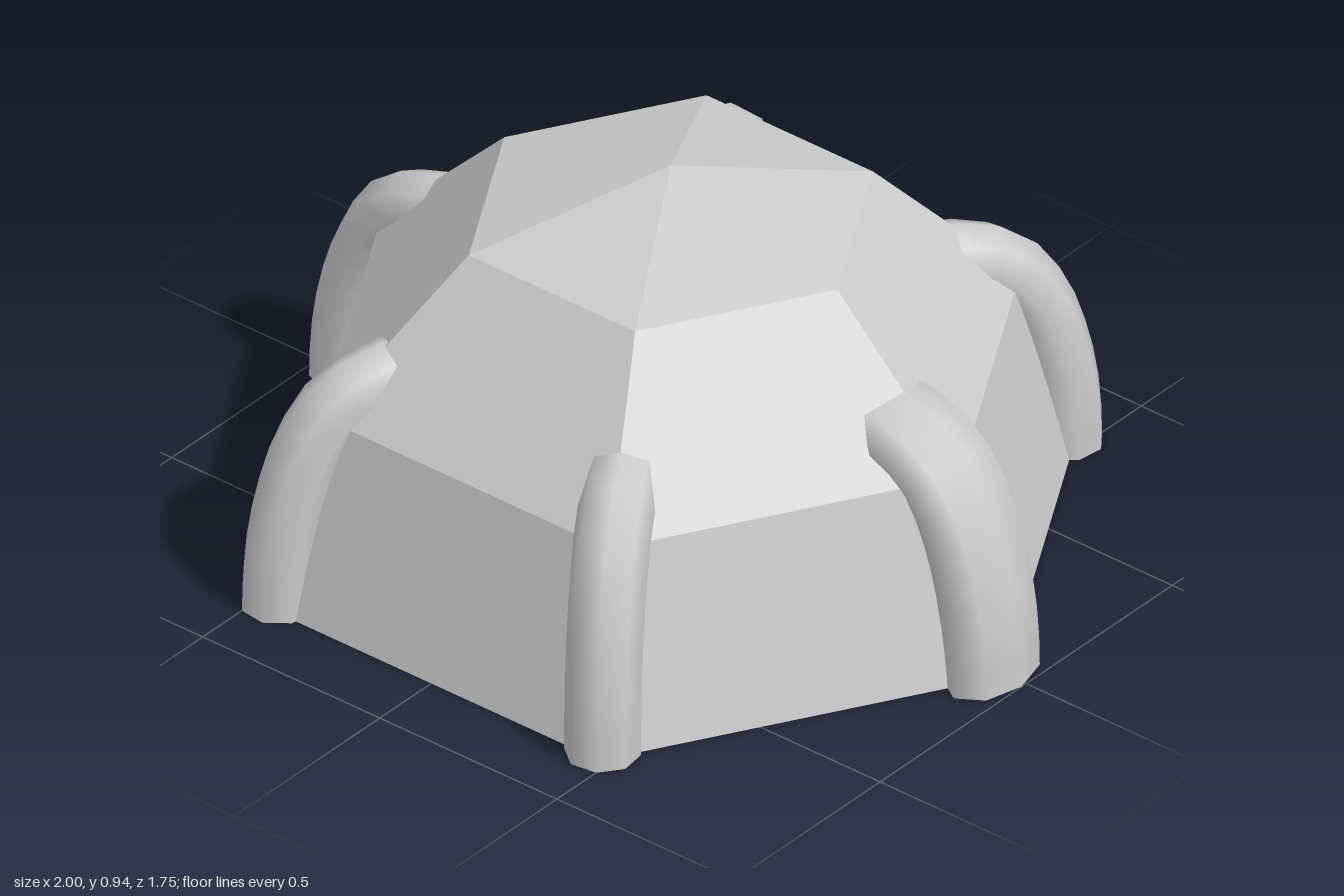
import * as THREE from 'three';

export function createModel() {
  const group = new THREE.Group();
  const smooth = new THREE.MeshStandardMaterial({ color: 0xcccccc, side: THREE.DoubleSide });
  const faceted = new THREE.MeshStandardMaterial({ color: 0xcccccc, side: THREE.DoubleSide, flatShading: true });

  // Six-sided half dome, open underneath
  const dome = new THREE.Mesh(
    new THREE.SphereGeometry(0.94, 6, 3, 0, Math.PI * 2, 0, Math.PI / 2), faceted);
  dome.name = 'dome';
  dome.position.set(0.005, 0, 0.01);
  group.add(dome);

  // Hollow leg: rises from the ground and bends into the dome
  const path = new THREE.CatmullRomCurve3([
    [0.915, 0], [0.91, 0.12], [0.885, 0.26], [0.84, 0.39], [0.77, 0.49], [0.68, 0.535], [0.59, 0.545],
  ].map(([x, y]) => new THREE.Vector3(x, y, 0)));
  const legGeometry = new THREE.TubeGeometry(path, 10, 0.085, 8, false);

  // Keep the foot ring flat on the ground
  const p = legGeometry.attributes.position;
  for (let i = 0; i <= 8; i++) p.setY(i, 0);

  // One leg on each corner; the left one is broader
  for (let i = 0; i < 6; i++) {
    const leg = new THREE.Mesh(legGeometry, smooth);
    leg.name = 'leg' + (i + 1);
    leg.rotation.y = i * Math.PI / 3;
    if (i === 0) {
      leg.scale.z = 1.53;
      leg.position.z = 0.015;
    }
    group.add(leg);
  }
  return group;
}
